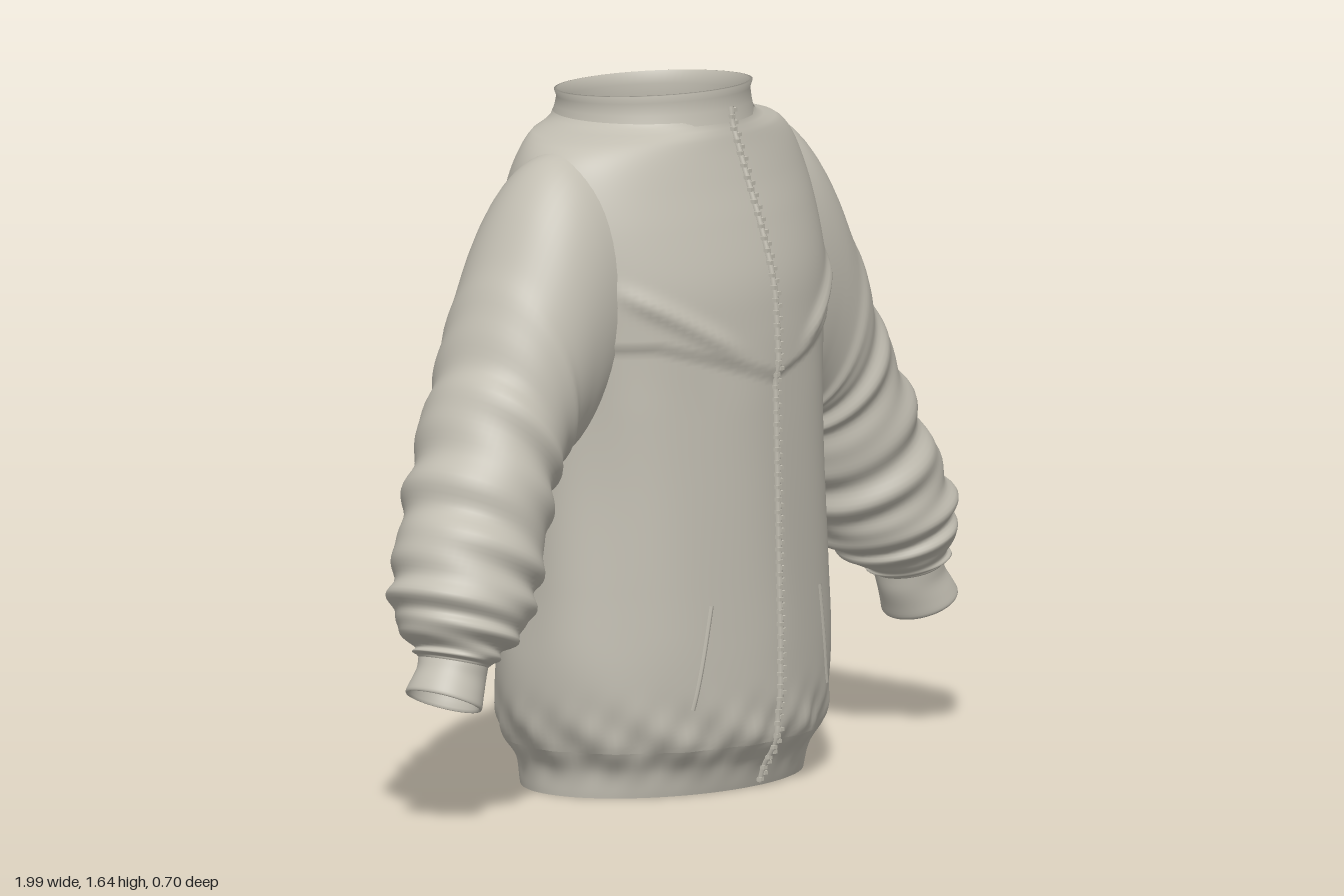
import * as THREE from 'three';
import { mergeGeometries } from 'three/addons/utils/BufferGeometryUtils.js';

const V = (x, y, z = 0) => new THREE.Vector3(x, y, z);
const smooth = THREE.MathUtils.smoothstep;
const bell = (d, w) => Math.exp(-((d / w) ** 2));

// Closed tube surface: fn(angle, t) gives a point, rows run along t
function loft(rows, segs, fn) {
  const pos = [], idx = [];
  for (let i = 0; i <= rows; i++) {
    for (let j = 0; j < segs; j++) {
      const p = fn((j / segs) * Math.PI * 2, i / rows);
      pos.push(p.x, p.y, p.z);
      if (i === rows) continue;
      const k = (j + 1) % segs;
      const a = i * segs + j, b = i * segs + k;
      idx.push(a, b, b + segs, a, b + segs, a + segs);
    }
  }
  const g = new THREE.BufferGeometry();
  g.setAttribute('position', new THREE.Float32BufferAttribute(pos, 3));
  g.setIndex(idx);
  g.computeVertexNormals();
  return g;
}

// Torso stations: height, half width, front z, back z
const torso = [
  [0.01, 0.40, 0.28, -0.28], [0.07, 0.405, 0.30, -0.295], [0.13, 0.435, 0.335, -0.33],
  [0.2, 0.455, 0.342, -0.342], [0.32, 0.463, 0.342, -0.335], [0.5, 0.45, 0.338, -0.31],
  [0.75, 0.435, 0.335, -0.303], [0.95, 0.435, 0.332, -0.303], [1.1, 0.445, 0.325, -0.305],
  [1.22, 0.455, 0.312, -0.308], [1.34, 0.46, 0.282, -0.306], [1.43, 0.445, 0.25, -0.29],
  [1.5, 0.41, 0.225, -0.268], [1.54, 0.355, 0.212, -0.258], [1.557, 0.275, 0.205, -0.252],
  [1.58, 0.243, 0.2, -0.25],
];
const heights = new THREE.CatmullRomCurve3(torso.map((s) => V(s[0], 0, 0)), false, 'catmullrom', 0.5);
const sizes = new THREE.CatmullRomCurve3(torso.map((s) => V(s[1], s[2], s[3])), false, 'catmullrom', 0.5);

function sizeAt(y) {
  let lo = 0, hi = 1;
  for (let k = 0; k < 24; k++) {
    const m = (lo + hi) / 2;
    if (heights.getPoint(m).x < y) lo = m; else hi = m;
  }
  return sizes.getPoint(lo);
}

// Point on the torso, with yoke step, diagonal folds and gathered hem
function torsoPoint(u, y, lift = 0) {
  const s = sizeAt(y), sx = Math.sin(u), cz = Math.cos(u);
  const mid = (s.y + s.z) / 2, half = (s.y - s.z) / 2;
  const x = s.x * sx, ax = Math.abs(x);
  const seam = Math.min(0.98 + 0.3 * ax, 1.075);
  let d = lift;
  d += 0.009 * smooth(y, seam - 0.012, seam + 0.008) * (1 - smooth(y, 1.15, 1.4));
  const fold = 1.03 + 0.62 * (ax - 0.1);
  d += 0.014 * bell(y - fold, 0.022) * smooth(ax, 0.08, 0.2) * (1 - smooth(ax, 0.32, 0.42));
  if (cz < 0 && x > 0) d += 0.025 * bell(x - 0.28, 0.06) * bell(y - 1.12, 0.05);
  const low = bell(y - 0.14, 0.07);
  d += low * (0.005 * Math.sin(13 * u + 30 * y) + 0.003 * Math.sin(29 * u - 40 * y));
  d += 0.003 * Math.sin(9 * u + 4 * y) * smooth(y, 0.15, 0.4) * (1 - smooth(y, 0.9, 1.1));
  return V(x + d * sx, y, mid + half * cz + d * cz);
}

// Sleeve stations: outer x,y, inner x,y, half depth, centre z
const sleeve = [
  [0.34, 1.53, 0.37, 0.86, 0.19, -0.02], [0.44, 1.5, 0.42, 0.81, 0.192, -0.02],
  [0.525, 1.415, 0.45, 0.8, 0.19, -0.02], [0.61, 1.27, 0.475, 0.79, 0.185, -0.02],
  [0.7, 1.09, 0.497, 0.775, 0.18, -0.018], [0.78, 0.95, 0.528, 0.73, 0.178, -0.012],
  [0.86, 0.8, 0.565, 0.635, 0.175, 0.0], [0.93, 0.68, 0.605, 0.54, 0.172, 0.018],
  [0.975, 0.575, 0.65, 0.468, 0.167, 0.03], [0.978, 0.5, 0.71, 0.42, 0.145, 0.04],
  [0.958, 0.435, 0.775, 0.385, 0.105, 0.052], [0.948, 0.412, 0.8, 0.37, 0.085, 0.055],
];
const cuff = [
  [0.948, 0.412, 0.8, 0.37, 0.085, 0.055], [0.962, 0.39, 0.807, 0.335, 0.082, 0.057],
  [0.982, 0.365, 0.822, 0.298, 0.088, 0.058], [0.995, 0.345, 0.833, 0.272, 0.093, 0.058],
  [0.988, 0.343, 0.84, 0.277, 0.087, 0.058], [0.955, 0.4, 0.808, 0.345, 0.076, 0.056],
];

// Lofts stations into a sleeve piece; side is +1 (left) or -1 (right)
function sleevePiece(list, side, rows, puff) {
  const curve = (f) => new THREE.CatmullRomCurve3(list.map(f), false, 'catmullrom', 0.5);
  const outer = curve((s) => V(s[0], s[1])), inner = curve((s) => V(s[2], s[3]));
  const depth = curve((s) => V(s[4], s[5]));
  return loft(rows, 56, (a, t) => {
    const u = a * side, o = outer.getPoint(t), n = inner.getPoint(t), q = depth.getPoint(t);
    const c = o.clone().add(n).multiplyScalar(0.5);
    const e = o.clone().sub(n).multiplyScalar(0.5);
    const len = e.length();
    const fade = puff * smooth(t, 0.25, 0.45) * (1 - smooth(t, 0.9, 1));
    // Puffed rings that drift around the arm
    const d = fade * (0.007 * Math.sin(62 * t + 1.2 * Math.sin(u)) + 0.004 * Math.sin(95 * t + 2 * Math.cos(u) + side))
      + puff * 0.006 * bell(t - 0.3, 0.02);
    c.addScaledVector(e, Math.cos(u) * (1 + d / len));
    return V(c.x * side, c.y, q.y + Math.sin(u) * (q.x + d));
  });
}

export function createModel() {
  const model = new THREE.Group();
  const fabric = new THREE.MeshStandardMaterial({ color: 0xc2beb2, side: THREE.DoubleSide });
  fabric.name = 'warm grey fabric';
  const add = (geometry, name) => {
    const m = new THREE.Mesh(geometry, fabric);
    m.name = name;
    model.add(m);
  };

  // Torso and hem
  add(loft(130, 128, (u, t) => torsoPoint(u, 0.12 + t * 1.455)), 'body');
  add(loft(14, 128, (u, t) => torsoPoint(u, 0.01 + t * 0.11)), 'hemBand');

  // Standing collar with a folded rim: radius, height
  const profile = [[0.243, 1.565], [0.236, 1.59], [0.232, 1.615], [0.238, 1.632], [0.23, 1.633], [0.224, 1.6], [0.228, 1.56]];
  add(loft(profile.length - 1, 80, (u, t) => {
    const [r, y] = profile[Math.round(t * (profile.length - 1))];
    const z = -0.025 + r * 0.955 * Math.cos(u);
    const tilt = 0.055 * (z + 0.025) * smooth(y, 1.56, 1.63);
    return V(r * Math.sin(u), y + tilt, z);
  }), 'collar');

  // Sleeves, cuffs and pocket welts
  for (const side of [1, -1]) {
    const label = side > 0 ? 'left' : 'right';
    add(sleevePiece(sleeve, side, 110, 1), label + 'Sleeve');
    add(sleevePiece(cuff, side, 20, 0), label + 'Cuff');
    const welt = [];
    for (let i = 0; i <= 8; i++) {
      const y = 0.22 + i * 0.03, x = 0.255 - i * 0.006;
      welt.push(torsoPoint(side * Math.asin(x / sizeAt(y).x), y, -0.001));
    }
    add(new THREE.TubeGeometry(new THREE.CatmullRomCurve3(welt), 24, 0.006, 6), label + 'PocketWelt');
  }

  // Zip: a raised tape with alternating teeth down the centre front
  const frontAt = (y) => (y < 1.57 ? torsoPoint(0, y, 0.001) : V(0, y, 0.2));
  const path = [];
  for (let i = 0; i <= 40; i++) path.push(frontAt(0.02 + i * 0.0395));
  const line = new THREE.CatmullRomCurve3(path);
  add(new THREE.TubeGeometry(line, 120, 0.008, 8), 'zipTape');
  const teeth = [];
  for (let i = 0; i < 110; i++) {
    const p = line.getPointAt((i + 0.5) / 110);
    const tooth = new THREE.BoxGeometry(0.013, 0.009, 0.012);
    tooth.translate(p.x + (i % 2 ? 0.005 : -0.005), p.y, p.z + 0.005);
    teeth.push(tooth);
  }
  add(mergeGeometries(teeth), 'zipTeeth');

  return model;
}
